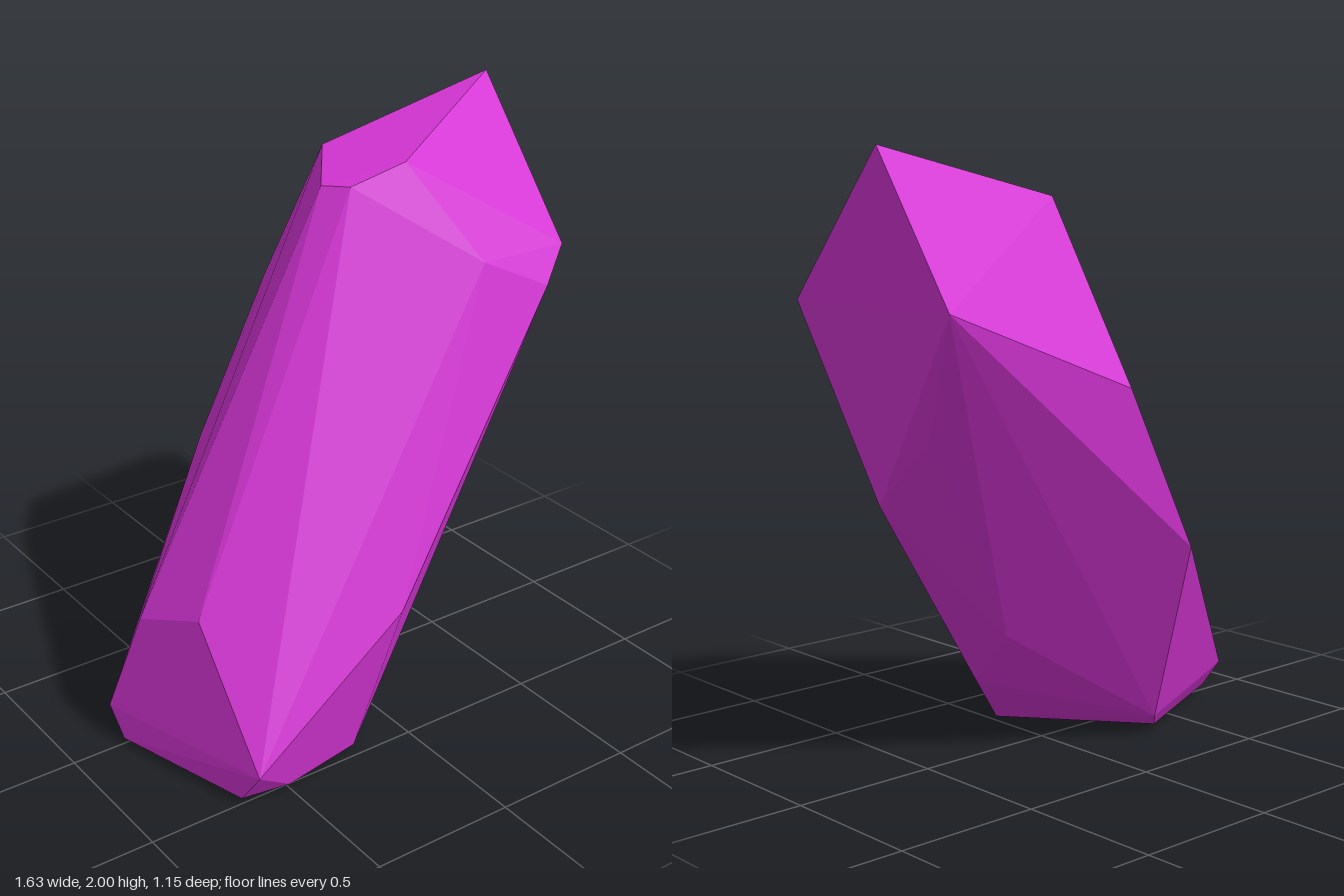
import * as THREE from 'three';
import { ConvexGeometry } from 'three/addons/geometries/ConvexGeometry.js';

export function createModel() {
  const model = new THREE.Group();
  model.name = 'crystal';

  const magenta = new THREE.MeshStandardMaterial({ color: 0xd535d5 });
  magenta.name = 'magenta crystal';

  // Corners of the leaning shard, ring by ring from the ground to the tip
  const foot = [
    [-0.81, 0.02, 0], [-0.67, 0.02, 0.5], [-0.5, 0.015, 0.52], [-0.2, 0.01, 0.46],
    [-0.03, 0, 0.27], [-0.355, 0.01, -0.19],
  ];
  const footBevel = [
    [-0.82, 0.12, -0.07], [-0.65, 0.13, 0.575], [-0.285, 0.07, -0.26], [0.24, 0.23, 0.06],
  ];
  const lowerShoulder = [
    [-0.74, 0.47, 0.02], [-0.67, 0.56, 0.27], [-0.08, 0.53, 0.555],
    [0.28, 0.43, -0.14], [-0.14, 0.73, -0.555], [0.71, 0.9, -0.04],
  ];
  const upperShoulder = [
    [0.16, 1.27, -0.58], [0.713, 1.13, -0.29], [0.81, 1.53, -0.505],
    [0.77, 1.52, 0.29], [0.65, 1.42, 0.36], [0.41, 1.54, 0.32],
  ];
  const tip = [
    [-0.02, 1.8, 0.02], [0.03, 1.81, 0.11], [0.23, 1.86, 0.13],
    [0.16, 1.84, -0.225], [0.805, 2, -0.17],
  ];

  // Flat facets wrapped around all corners
  const corners = [foot, footBevel, lowerShoulder, upperShoulder, tip]
    .flat()
    .map((p) => new THREE.Vector3(...p));
  const shard = new THREE.Mesh(new ConvexGeometry(corners), magenta);
  shard.name = 'crystalShard';
  model.add(shard);

  return model;
}
